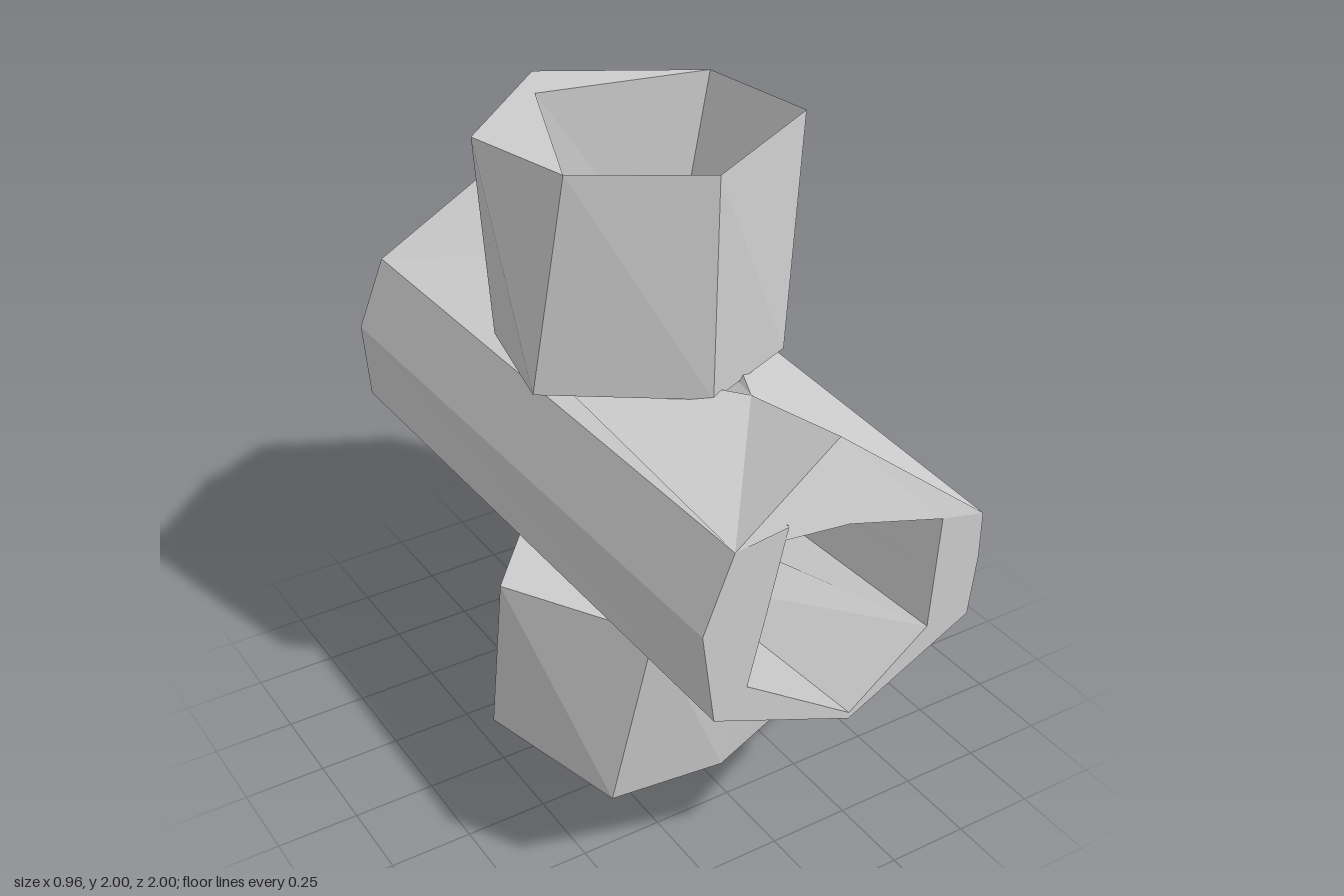
import * as THREE from 'three';

const material = new THREE.MeshStandardMaterial({ color: 0xcccccc, flatShading: true });

// Collects quads and triangles into one faceted mesh, leaving out empty triangles.
function facetBuilder() {
  const pos = [];
  const same = (p, q) => p.every((v, i) => v === q[i]);
  const tri = (a, b, c) => {
    if (!same(a, b) && !same(b, c) && !same(a, c)) pos.push(...a, ...b, ...c);
  };
  const quad = (a, b, c, d, flip = false) => {
    if (flip) [b, d] = [d, b];
    tri(a, b, c);
    tri(a, c, d);
  };
  const mesh = (name) => {
    const g = new THREE.BufferGeometry();
    g.setAttribute('position', new THREE.Float32BufferAttribute(pos, 3));
    g.computeVertexNormals();
    const m = new THREE.Mesh(g, material);
    m.name = name;
    return m;
  };
  return { tri, quad, mesh };
}

// Ring of [x, z] points at height y (a third number lifts a corner), sorted by angle.
const angle = (p) => Math.atan2(p[2], p[0]);
const ringAt = (y, pts) => pts.map(([x, z, lift = 0]) => [x, y + lift, z]).sort((p, q) => angle(p) - angle(q));

// Joins two rings that may have different numbers of corners.
function stitch(builder, a, b) {
  const at = (r, i) => r[i % r.length];
  const ang = (r, i) => angle(at(r, i)) + (i >= r.length ? 2 * Math.PI : 0);
  let i = 0, j = 0;
  while (i < a.length || j < b.length) {
    const stepA = j >= b.length || (i < a.length && ang(a, i + 1) <= ang(b, j + 1));
    if (stepA) { builder.tri(at(a, i), at(b, j), at(a, i + 1)); i++; }
    else { builder.tri(at(a, i), at(b, j), at(b, j + 1)); j++; }
  }
}

// Hollow upright pipe: outside, top rim, bore, bottom rim.
// Where the bore shares corners with the outside, the rim narrows to a sharp edge.
function uprightPipe(name, y0, y1, outerLow, outerHigh, innerHigh, innerLow) {
  const builder = facetBuilder();
  const rings = [ringAt(y0, outerLow), ringAt(y1, outerHigh), ringAt(y1, innerHigh), ringAt(y0, innerLow)];
  rings.forEach((r, k) => stitch(builder, r, rings[(k + 1) % 4]));
  return builder.mesh(name);
}

// Five stations along z. Each end lists top, three right, bottom, three left corners.
// Side corners exist only at the two ends, giving long facets; the top and bottom
// corners split in two at the middle station, which opens the cross holes.
function pipeSkin(front, back, zHole, tops, bottoms) {
  const at = (p, z) => [p[0], p[1], p[2] ?? z];
  return [1, zHole, 0, -zHole, -1].map((z, s) => {
    const [end, zEnd] = s < 3 ? [front, 1] : [back, -1];
    const side = (from) => end.slice(from, from + 3).map((p) => at(p, zEnd));
    const isEnd = s === 0 || s === 4;
    const top = at(isEnd ? end[0] : tops[s - 1], z);
    const bottom = at(isEnd ? end[4] : bottoms[s - 1], z);
    const mirror = (p) => (s === 2 ? [-p[0], p[1], p[2]] : p);
    return [top, ...side(1), bottom, mirror(bottom), ...side(5), mirror(top)];
  });
}

function crossPipe() {
  const outer = pipeSkin(
    [[0.01, 1.48, 0.93], [0.45, 1.14], [0.45, 1], [0.43, 0.82], [0.04, 0.62], [-0.4, 0.8], [-0.44, 1.08], [-0.35, 1.3]],
    [[0.03, 1.48], [0.41, 1.2], [0.46, 1], [0.42, 0.8], [0, 0.51, -0.87], [-0.42, 0.8], [-0.44, 1.05], [-0.35, 1.27]],
    0.5,
    [[0.04, 1.38], [0.31, 1.335, -0.08], [0.07, 1.38]],
    [[0.04, 0.55, 0.62], [0.3, 0.65], [0, 0.65, -0.38]]
  );
  const inner = pipeSkin(
    [[0, 1.262], [0.31, 1.17], [0.3, 1], [0.29, 0.83], [0.04, 0.64], [-0.3, 0.87], [-0.25, 1.07], [-0.19, 1.32]],
    [[0.05, 1.285], [0.25, 1.26], [0.25, 1], [0.25, 0.78], [0, 0.6], [-0.3, 0.93], [-0.24, 1.1], [-0.17, 1.31]],
    0.32,
    [[0, 1.29], [0.21, 1.27], [0, 1.29]],
    [[-0.05, 0.69], [0.24, 0.77], [0, 0.69]]
  );
  const builder = facetBuilder();
  for (let c = 0; c < 9; c++) {
    if (c === 4) continue;
    // outside and bore
    for (let s = 0; s < 4; s++) {
      for (const skin of [outer, inner]) {
        builder.quad(skin[s][c], skin[s][c + 1], skin[s + 1][c + 1], skin[s + 1][c], skin === inner);
      }
    }
    // end rims
    for (const s of [0, 4]) {
      builder.quad(outer[s][c], inner[s][c], inner[s][c + 1], outer[s][c + 1], s === 4);
    }
  }
  // walls of the upper and lower cross holes
  for (const c of [0, 4, 5, 9]) {
    for (const s of [1, 2]) {
      builder.quad(outer[s][c], outer[s + 1][c], inner[s + 1][c], inner[s][c], c === 4 || c === 9);
    }
  }
  return builder.mesh('horizontalPipe');
}

export function createModel() {
  const model = new THREE.Group();
  model.name = 'crossedPipes';
  model.add(crossPipe());
  model.add(uprightPipe('upperPipe', 1.36, 2,
    [[0.48, 0.01], [0.29, 0.3], [-0.04, 0.44], [-0.44, 0.16], [-0.36, -0.21], [0.02, -0.43], [0.27, -0.38]],
    [[-0.06, -0.49], [0.38, -0.23], [0.43, 0.17], [-0.02, 0.42], [-0.36, 0.21], [-0.44, -0.14]],
    [[-0.14, -0.33], [0.38, -0.23], [0.43, 0.17], [-0.02, 0.42], [-0.36, 0.21]],
    [[-0.13, -0.31], [0.28, -0.26], [0.3, 0.21], [-0.08, 0.29], [-0.25, 0.1], [-0.25, -0.12]]));
  model.add(uprightPipe('lowerPipe', 0, 0.64,
    [[0.06, 0.38], [0.41, 0.25], [0.38, -0.3], [-0.1, -0.42], [-0.44, -0.18], [-0.31, 0.34]],
    [[0.17, 0.41], [0.38, 0.1], [0.28, -0.33], [-0.17, -0.37], [-0.48, -0.01], [-0.22, 0.43]],
    [[0.24, -0.23], [-0.08, 0.28], [-0.26, 0], [-0.1, -0.3]],
    [[0.32, 0], [0.06, 0.38], [-0.29, -0.02, 0.05], [-0.1, -0.42]]));
  return model;
}
